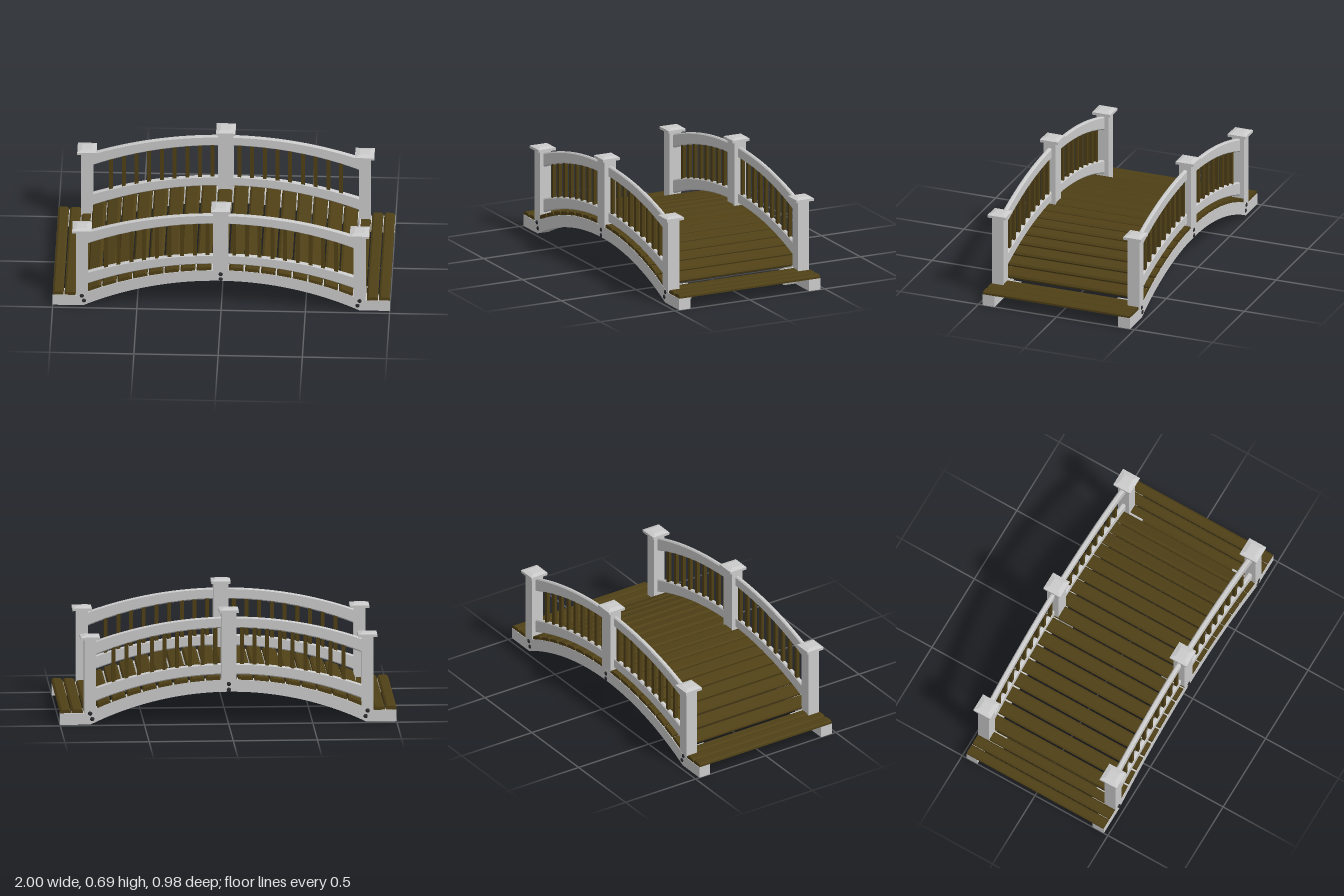
import * as THREE from 'three';
import { toCreasedNormals } from 'three/addons/utils/BufferGeometryUtils.js';

const grey = new THREE.MeshStandardMaterial({ color: 0xcccccc });
const wood = new THREE.MeshStandardMaterial({ color: 0x4f4016 });
const iron = new THREE.MeshStandardMaterial({ color: 0x2c2c30 });

const CX = -0.003;          // middle of the arch
const CY = -1.674;          // centre height of the arch circles
const R_IN = 1.864, R_OUT = 1.936;
const POST_X = 0.824, POST_Z = 0.434;

function add(parent, name, geometry, material, x = 0, y = 0, z = 0) {
  const mesh = new THREE.Mesh(geometry, material);
  mesh.name = name;
  mesh.position.set(x, y, z);
  parent.add(mesh);
  return mesh;
}

// Height of a circular arc of radius r whose crown is at height top
const arcY = (x, r, top) => top - r + Math.sqrt(r * r - x * x);

function arcPoints(r, top, x0, x1, n = 40) {
  return Array.from({ length: n + 1 }, (_, i) => {
    const x = x0 + ((x1 - x0) * i) / n;
    return new THREE.Vector2(x, arcY(x, r, top));
  });
}

// Extrude an outline along z, centred, with optional chamfered edges
function slab(points, depth, bevel = 0) {
  const geo = new THREE.ExtrudeGeometry(new THREE.Shape(points), {
    depth: depth - 2 * bevel, bevelEnabled: bevel > 0, bevelSegments: 1,
    bevelSize: bevel, bevelThickness: bevel, bevelOffset: -bevel,
  });
  geo.translate(0, 0, -depth / 2 + bevel);
  return toCreasedNormals(geo, 0.3);
}

// Board across the bridge with chamfered upper edges, base at y = 0
function plankGeometry(width, length) {
  const w = width / 2, c = 0.011, h = 0.021;
  return slab([[-w, 0], [w, 0], [w, h - 0.009], [w - c, h], [c - w, h], [-w, h - 0.009]]
    .map(([x, y]) => new THREE.Vector2(x, y)), length);
}

// Flat cap with a shallow chamfered top
function capGeometry() {
  const s = Math.SQRT2;
  const profile = [[0, 0], [0.0575, 0], [0.0575, 0.016], [0.03, 0.024], [0, 0.024]]
    .map(([r, y]) => new THREE.Vector2(r * s, y));
  const geo = new THREE.LatheGeometry(profile, 4).rotateY(Math.PI / 4);
  return toCreasedNormals(geo, 0.1);
}

function post(parent, name, x, z, width, bottom, top) {
  const group = new THREE.Group();
  group.name = name;
  group.position.set(x, 0, z);
  add(group, 'postShaft', new THREE.BoxGeometry(width, top - bottom, 0.076), grey, 0, (top + bottom) / 2, 0);
  add(group, 'postCap', capGeometry(), grey, 0, top, 0);
  parent.add(group);
}

// Support block behind the beam and two bolt heads on its outside
function fixing(parent, x, y, tilt, side) {
  const group = new THREE.Group();
  group.name = 'postFixing';
  group.position.set(x, y, 0);
  group.rotation.z = tilt;
  add(group, 'supportBlock', new THREE.BoxGeometry(0.075, 0.066, 0.1), grey, 0, 0, side * 0.358);
  for (const dy of [-0.0175, 0.0175]) {
    const bolt = add(group, 'bolt', new THREE.SphereGeometry(0.013, 16, 10), iron, 0, dy, side * 0.472);
    bolt.scale.z = 0.55;
  }
  parent.add(group);
}

// Beam, posts, rails and balusters of one side
function createSide(side) {
  const g = new THREE.Group();
  g.name = side > 0 ? 'frontSide' : 'backSide';

  // Arched beam with flat feet
  const beam = [new THREE.Vector2(-1, 0), ...arcPoints(R_IN, R_IN + CY, -0.82, 0.82),
    new THREE.Vector2(1, 0), new THREE.Vector2(1, 0.07),
    ...arcPoints(R_OUT, R_OUT + CY, 0.843, -0.843), new THREE.Vector2(-1, 0.07)];
  add(g, 'archBeam', slab(beam, 0.077), grey, 0, 0, side * POST_Z);

  // Posts
  post(g, 'middlePost', CX, side * POST_Z, 0.09, 0.21, 0.669);
  for (const s of [-1, 1]) {
    post(g, 'endPost', CX + s * POST_X, side * POST_Z, 0.07, 0.05, 0.514);
    fixing(g, CX + s * 0.818, 0.05, -s * 0.36, side);
  }
  fixing(g, CX, 0.2195, 0, side);

  // Curved handrail and lower rail
  for (const [name, top] of [['handrail', 0.636], ['lowerRail', 0.355]]) {
    const outline = [...arcPoints(2.09, top - 0.066, -0.81, 0.81), ...arcPoints(2.38, top, 0.81, -0.81)];
    add(g, name, slab(outline, 0.027, 0.007), grey, CX, 0, side * POST_Z);
  }

  // Balusters
  for (const s of [-1, 1]) {
    for (let i = 0; i < 9; i++) {
      const x = s * (0.079 + 0.0754 * i);
      const low = arcY(x, 2.38, 0.355) - 0.015, high = arcY(x, 2.09, 0.57) + 0.015;
      add(g, 'baluster', new THREE.BoxGeometry(0.023, high - low, 0.02), wood,
        CX + x, (low + high) / 2, side * POST_Z);
    }
  }
  return g;
}

function createDeck() {
  const deck = new THREE.Group();
  deck.name = 'deck';

  // Planks following the arch
  const arched = plankGeometry(0.086, 0.94);
  for (let i = -8; i <= 8; i++) {
    const a = i * 0.0493;
    const plank = add(deck, 'archPlank', arched, wood,
      CX - 0.004 + R_OUT * Math.sin(a), CY + R_OUT * Math.cos(a), 0);
    plank.rotation.z = -a;
  }

  // Level planks at both ends, the innermost fitted between the posts
  for (const s of [-1, 1]) {
    add(deck, 'endPlank', plankGeometry(0.064, 0.94), wood, s * 0.968, 0.07, 0);
    add(deck, 'endPlank', plankGeometry(0.066, 0.94), wood, s * 0.897, 0.07, 0);
    add(deck, 'postPlank', plankGeometry(0.068, 0.8), wood, s * 0.824, 0.071, 0);
  }
  return deck;
}

export function createModel() {
  const model = new THREE.Group();
  model.name = 'gardenBridge';
  model.add(createSide(1), createSide(-1), createDeck());
  return model;
}
